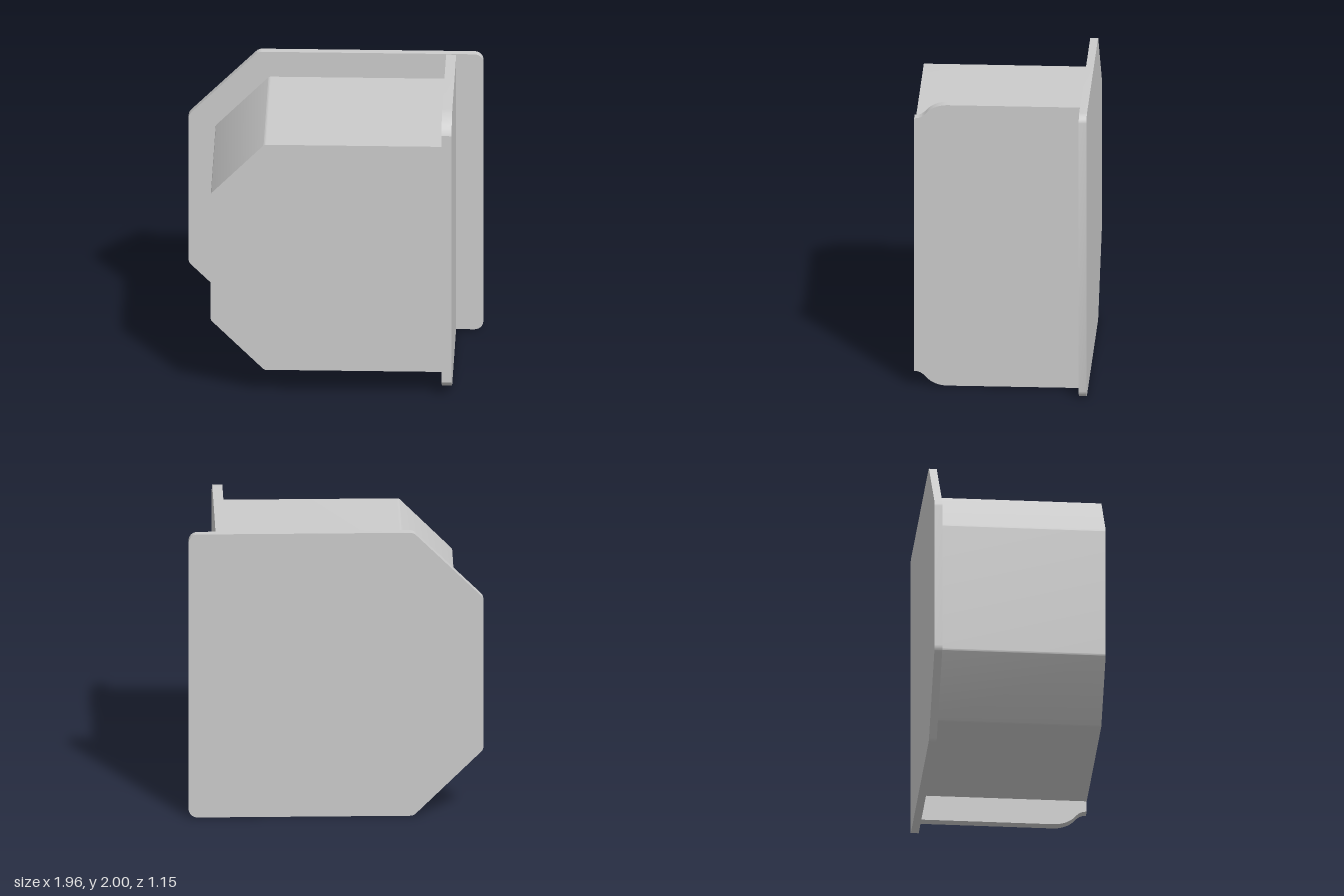
import * as THREE from 'three';
import { toCreasedNormals } from 'three/addons/utils/BufferGeometryUtils.js';

const material = new THREE.MeshStandardMaterial({ color: 0xcccccc });

// Closed polygon whose corners [x, y, radius] are rounded by near-circular arcs
function roundedShape(corners) {
  const shape = new THREE.Shape();
  const n = corners.length;
  corners.forEach(([x, y, r], i) => {
    const c = new THREE.Vector2(x, y);
    const [px, py] = corners[(i + n - 1) % n];
    const [nx, ny] = corners[(i + 1) % n];
    const toPrev = new THREE.Vector2(px, py).sub(c).normalize();
    const toNext = new THREE.Vector2(nx, ny).sub(c).normalize();
    const turn = Math.PI - Math.acos(toPrev.dot(toNext));
    const t = r * Math.tan(turn / 2);
    const h = t - (4 / 3) * Math.tan(turn / 4) * r;
    const at = (dir, d) => c.clone().addScaledVector(dir, d);
    const a = at(toPrev, t), b = at(toPrev, h), d = at(toNext, h), e = at(toNext, t);
    if (i === 0) shape.moveTo(a.x, a.y);
    else shape.lineTo(a.x, a.y);
    shape.bezierCurveTo(b.x, b.y, d.x, d.y, e.x, e.y);
  });
  shape.closePath();
  return shape;
}

function extrude(shape, depth) {
  return new THREE.ExtrudeGeometry(shape, { depth, bevelEnabled: false, curveSegments: 10 });
}

function addPart(group, name, geometry) {
  const mesh = new THREE.Mesh(toCreasedNormals(geometry, 0.5), material);
  mesh.name = name;
  group.add(mesh);
}

export function createModel() {
  const group = new THREE.Group();
  group.name = 'housing';
  const back = -0.577, seat = -0.525, front = 0.577;

  // Back plate: chamfered on one side, rounded on the other
  const plate = roundedShape([
    [-0.98, 0.465, 0.06], [-0.515, 0, 0.06], [0.977, 0, 0.06],
    [0.977, 2, 0.06], [-0.515, 2, 0.06], [-0.98, 1.535, 0.06],
  ]);
  addPart(group, 'backPlate', extrude(plate, seat - back).translate(0, 0, back));

  // Box body with the same chamfers
  const body = roundedShape([
    [-0.8, 0.54, 0.03], [-0.445, 0.183, 0.03], [0.73, 0.183, 0],
    [0.73, 1.82, 0], [-0.445, 1.82, 0.03], [-0.8, 1.46, 0.03],
  ]);
  addPart(group, 'body', extrude(body, front - seat).translate(0, 0, seat));

  // Tall side panel with S-curved front corners, drawn with shape x = -z
  const side = new THREE.Shape();
  side.moveTo(-seat, 0.007);
  side.lineTo(-seat, 1.995);
  side.lineTo(-0.35, 1.995);
  side.bezierCurveTo(-0.41, 1.995, -0.455, 1.977, -0.49, 1.945);
  side.bezierCurveTo(-0.52, 1.91, -0.54, 1.898, -front, 1.898);
  side.lineTo(-front, 0.107);
  side.bezierCurveTo(-0.54, 0.107, -0.52, 0.092, -0.49, 0.057);
  side.bezierCurveTo(-0.455, 0.025, -0.41, 0.007, -0.35, 0.007);
  side.closePath();
  addPart(group, 'sidePanel', extrude(side, 0.067).rotateY(Math.PI / 2).translate(0.73, 0, 0));

  return group;
}
